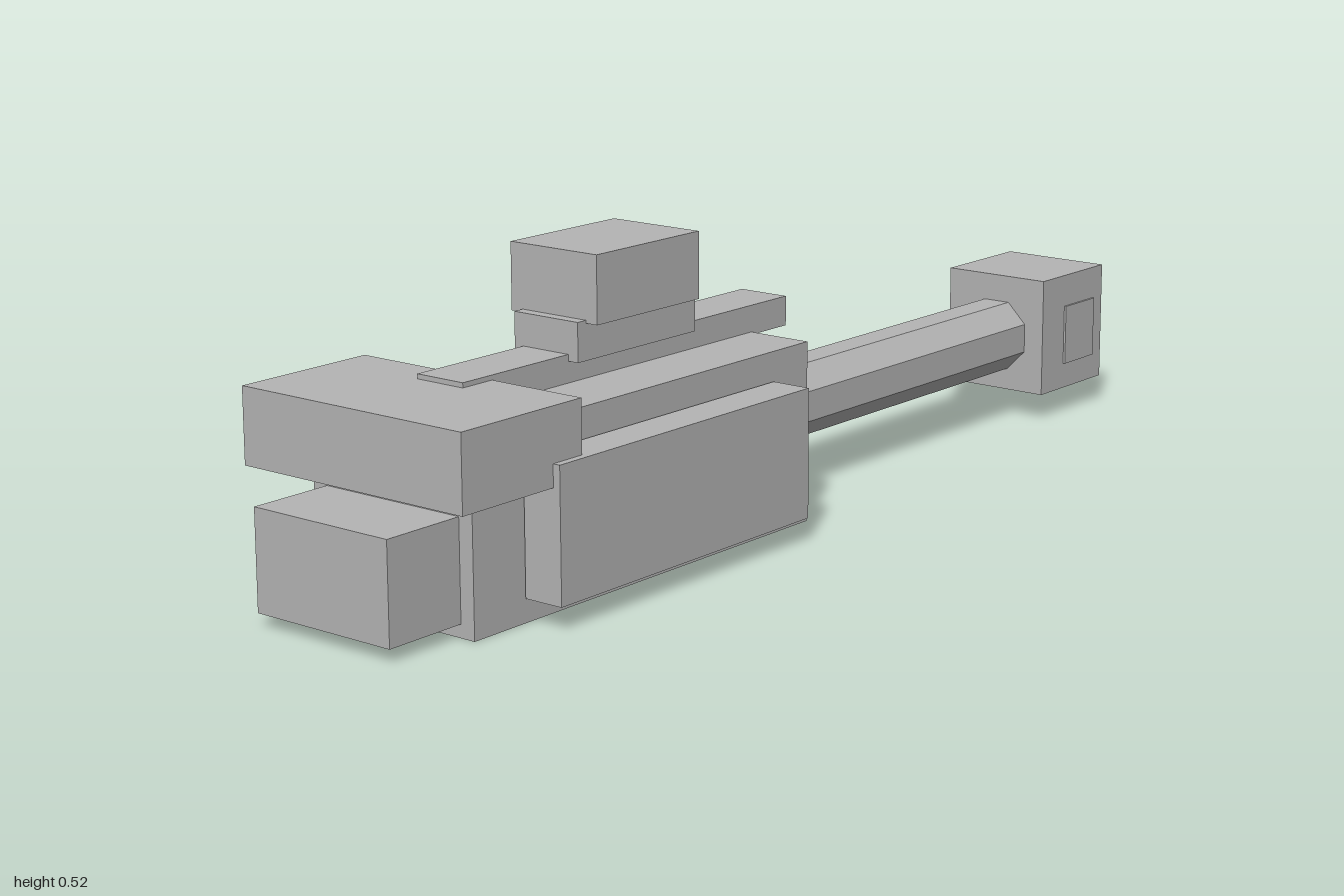
import * as THREE from 'three';

export function createModel() {
  const group = new THREE.Group();
  group.name = 'blaster';
  const grey = new THREE.MeshStandardMaterial({ color: 0xb4b4b4 });
  grey.name = 'grey';

  // Box given by its extents along each axis
  function box(name, [x0, x1], [y0, y1], [z0, z1]) {
    const mesh = new THREE.Mesh(new THREE.BoxGeometry(x1 - x0, y1 - y0, z1 - z0), grey);
    mesh.position.set((x0 + x1) / 2, (y0 + y1) / 2, (z0 + z1) / 2);
    mesh.name = name;
    group.add(mesh);
  }

  // Main body with side panels
  box('body', [-0.163, 0.168], [0, 0.31], [0.035, 0.85]);
  box('rightPanel', [-0.238, -0.166], [0.04, 0.26], [0.13, 0.74]);
  box('leftPanel', [0.171, 0.243], [0.04, 0.26], [0.13, 0.74]);
  box('rightPanelPlate', [-0.245, -0.237], [0.142, 0.179], [0.36, 0.56]);

  // Blocks at the front end
  box('lowerBlock', [-0.135, 0.141], [0.022, 0.188], [0.84, 1]);
  box('upperBlock', [-0.223, 0.23], [0.223, 0.348], [0.675, 0.935]);

  // Top rail and sight
  box('rail', [-0.045, 0.05], [0.305, 0.356], [-0.06, 0.74]);
  box('sightBase', [-0.063, 0.07], [0.345, 0.41], [0.21, 0.5]);
  box('sight', [-0.087, 0.093], [0.405, 0.517], [0.228, 0.48]);
  box('sightPlate', [-0.05, 0.056], [0.43, 0.49], [0.221, 0.229]);

  // Octagonal barrel with flat faces up and to the sides
  const barrelGeometry = new THREE.CylinderGeometry(0.07, 0.07, 0.85, 8);
  barrelGeometry.rotateY(Math.PI / 8).rotateX(Math.PI / 2);
  const flatBarrel = barrelGeometry.toNonIndexed();
  flatBarrel.computeVertexNormals();
  const barrel = new THREE.Mesh(flatBarrel, grey);
  barrel.name = 'barrel';
  barrel.position.set(0.002, 0.155, -0.375);
  group.add(barrel);

  // Muzzle block with thin plates on its sides and end
  box('muzzle', [-0.105, 0.107], [0.05, 0.27], [-0.993, -0.785]);
  box('muzzleRightPlate', [-0.109, -0.104], [0.098, 0.21], [-0.96, -0.86]);
  box('muzzleLeftPlate', [0.106, 0.111], [0.098, 0.21], [-0.96, -0.86]);
  box('muzzleEndPlate', [-0.048, 0.05], [0.12, 0.205], [-1, -0.992]);

  return group;
}
